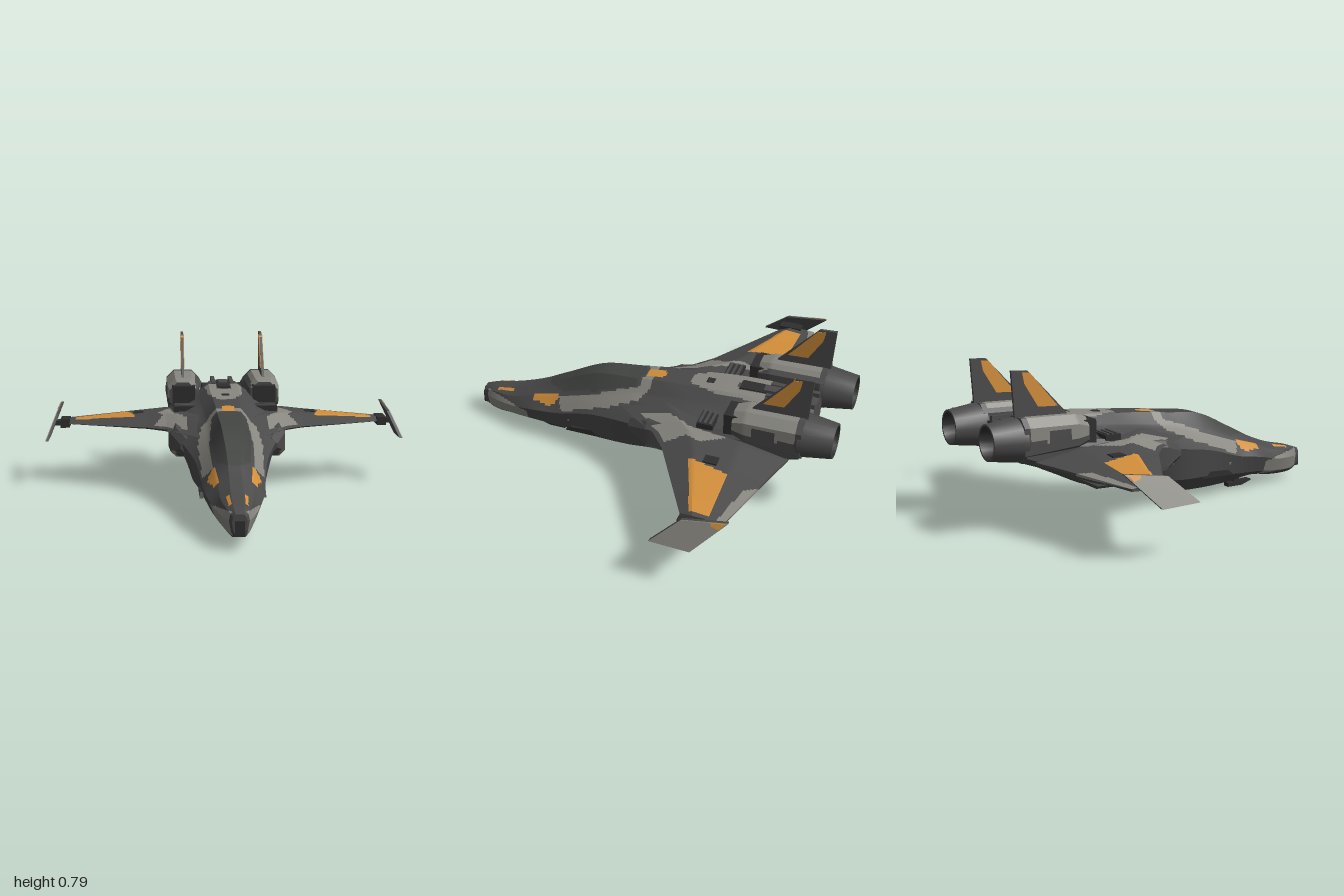
import * as THREE from 'three';
import { toCreasedNormals } from 'three/addons/utils/BufferGeometryUtils.js';

const V = (x, y, z) => new THREE.Vector3(x, y, z);
const DARK = 0, GREY = 1, ORANGE = 2, BLACK = 3, CANOPY = 4;

// Point-in-polygon test for paint areas given as [x, z] corners
function inside(poly, x, z) {
  let hit = false;
  for (let i = 0, j = poly.length - 1; i < poly.length; j = i++) {
    const [a, b] = poly[i], [c, d] = poly[j];
    if ((b > z) !== (d > z) && x < ((c - a) * (z - b)) / (d - b) + a) hit = !hit;
  }
  return hit;
}

// Paint areas on half of the upper side
const paintAreas = [
  [ORANGE, [[0.535, -0.56], [0.815, -0.56], [0.815, -0.46], [0.487, -0.345]]],
  [ORANGE, [[0, -0.06], [0.02, -0.055], [0.032, -0.03], [0.032, 0.045], [0, 0.045]]],
  [ORANGE, [[0.09, 0.51], [0.12, 0.52], [0.13, 0.56], [0.1, 0.665], [0.08, 0.665]]],
  [ORANGE, [[0.035, 0.8], [0.05, 0.8], [0.045, 0.9], [0.03, 0.9]]],
  [GREY, [[0.10, 0.51], [0.15, 0.48], [0.165, 0.2], [0.14, 0.04], [0.08, -0.01], [0.03, -0.01], [0.03, 0.04], [0.09, 0.06], [0.11, 0.3]]],
  [GREY, [[0.30, -0.48], [0.37, -0.36], [0.34, -0.28], [0.39, -0.17], [0.32, -0.08], [0.27, 0.09], [0.21, 0], [0.21, -0.14], [0.28, -0.28]]],
  [GREY, [[0, -0.2], [0.05, -0.21], [0.09, -0.34], [0.105, -0.6], [0.05, -0.6], [0.045, -0.46], [0, -0.44]]],
  [GREY, [[0.54, -0.74], [0.9, -0.64], [0.9, -0.58], [0.6, -0.655]]],
  [CANOPY, [[0, 0.05], [0.09, 0.08], [0.1, 0.3], [0.08, 0.5], [0.04, 0.58], [0, 0.6]]],
];
function topPaint(p) {
  const area = paintAreas.find(([, poly]) => inside(poly, Math.abs(p.x), p.z));
  return area ? area[0] : DARK;
}

// Skin over closed rings, with capped ends and one material group per paint colour
function loft(rings, paint, { split = 1, step = 0.05, smooth = false } = {}) {
  const fine = [];
  const at = rings[0].map((_, j) => new THREE.CatmullRomCurve3(rings.map(r => r[j])));
  for (let i = 0; i < rings.length - 1; i++) {
    const n = Math.ceil(rings[i][0].distanceTo(rings[i + 1][0]) / step);
    const last = i === rings.length - 2 ? 1 : 0;
    for (let k = 0; k < n + last; k++) {
      const corners = rings[i].map((p, j) => smooth
        ? at[j].getPoint((i + k / n) / (rings.length - 1))
        : p.clone().lerp(rings[i + 1][j], k / n));
      const ring = [];
      corners.forEach((p, j) => {
        const q = corners[(j + 1) % corners.length];
        for (let m = 0; m < split; m++) ring.push(p.clone().lerp(q, m / split));
      });
      fine.push(ring);
    }
  }
  const buckets = [[], [], [], [], []];
  const put = (colour, ...pts) => pts.forEach(p => buckets[colour].push(p.x, p.y, p.z));
  const n = fine[0].length;
  for (let i = 0; i < fine.length - 1; i++) for (let j = 0; j < n; j++) {
    const a = fine[i][j], b = fine[i][(j + 1) % n], c = fine[i + 1][j], d = fine[i + 1][(j + 1) % n];
    const mid = a.clone().add(b).add(c).add(d).multiplyScalar(0.25);
    put(paint(mid), a, c, b, b, c, d);
  }
  [fine[0], fine[fine.length - 1]].forEach((ring, end) => {
    const mid = ring.reduce((s, p) => s.add(p), V(0, 0, 0)).divideScalar(n);
    ring.forEach((p, j) => {
      const q = ring[(j + 1) % n];
      if (end) put(DARK, mid, q, p); else put(DARK, mid, p, q);
    });
  });
  const geo = new THREE.BufferGeometry();
  geo.setAttribute('position', new THREE.Float32BufferAttribute(buckets.flat(), 3));
  let start = 0;
  buckets.forEach((b, m) => { if (b.length) geo.addGroup(start, b.length / 3, m); start += b.length / 3; });
  return toCreasedNormals(geo, 0.4);
}

// Bevelled rectangular ring facing +z
function boxRing([z, x0, x1, y0, y1], b) {
  return [[x1, y0 + b], [x1, y1 - b], [x1 - b, y1], [x0 + b, y1], [x0, y1 - b], [x0, y0 + b], [x0 + b, y0], [x1 - b, y0]]
    .map(([x, y]) => V(x, y, z));
}

// Upright plate from [z, y] corners, centred on x
function plate(corners, thick, x = 0) {
  const shape = new THREE.Shape(corners.map(c => new THREE.Vector2(...c)));
  const geo = new THREE.ExtrudeGeometry(shape, { depth: thick, bevelEnabled: false });
  return geo.rotateY(-Math.PI / 2).translate(x + thick / 2, 0, 0);
}

const box = (x0, x1, y0, y1, z0, z1) => new THREE.BoxGeometry(x1 - x0, y1 - y0, z1 - z0)
  .translate((x0 + x1) / 2, (y0 + y1) / 2, (z0 + z1) / 2);

function mirrored(geo) {
  const out = (geo.index ? geo.toNonIndexed() : geo.clone()).scale(-1, 1, 1);
  for (const attr of [out.attributes.position, out.attributes.normal])
    for (let i = 0; i < attr.count; i += 3) {
      const p = V().fromBufferAttribute(attr, i + 1), q = V().fromBufferAttribute(attr, i + 2);
      attr.setXYZ(i + 1, q.x, q.y, q.z);
      attr.setXYZ(i + 2, p.x, p.y, p.z);
    }
  return out;
}

export function createModel() {
  const root = new THREE.Group();
  const mats = Object.entries({ darkHull: 0x4a4a4a, lightGrey: 0x87867f, orange: 0xd28e3a, black: 0x2e2e2e, canopyGlass: 0x434543 })
    .map(([name, color]) => Object.assign(new THREE.MeshStandardMaterial({ color }), { name }));
  const add = (name, geo, mat) => {
    const mesh = new THREE.Mesh(geo, mat === undefined ? mats : mats[mat]);
    mesh.name = name;
    root.add(mesh);
  };
  const pair = (name, geo, mat) => {
    add(name + 'Left', geo, mat);
    add(name + 'Right', mirrored(geo), mat);
  };

  // Fuselage: z, then x,y of ridge, shoulder, chine, lower edge and keel
  const hull = [
    [0.99, 0.02, 0.165, 0.03, 0.152, 0.035, 0.13, 0.03, 0.09, 0.02, 0.07],
    [0.93, 0.025, 0.185, 0.05, 0.17, 0.06, 0.13, 0.045, 0.065, 0.03, 0.045],
    [0.8, 0.03, 0.215, 0.075, 0.185, 0.10, 0.14, 0.075, 0.07, 0.04, 0.042],
    [0.65, 0.03, 0.27, 0.085, 0.235, 0.14, 0.175, 0.11, 0.09, 0.05, 0.06],
    [0.5, 0.035, 0.345, 0.10, 0.275, 0.155, 0.20, 0.13, 0.10, 0.06, 0.045],
    [0.3, 0.05, 0.437, 0.11, 0.34, 0.18, 0.26, 0.16, 0.12, 0.08, 0.04],
    [0.1, 0.06, 0.463, 0.11, 0.40, 0.23, 0.30, 0.19, 0.13, 0.09, 0.05],
    [-0.05, 0.065, 0.482, 0.12, 0.42, 0.28, 0.33, 0.20, 0.15, 0.10, 0.09],
    [-0.2, 0.07, 0.493, 0.13, 0.44, 0.33, 0.345, 0.20, 0.15, 0.11, 0.14],
    [-0.4, 0.08, 0.51, 0.14, 0.46, 0.33, 0.35, 0.20, 0.18, 0.11, 0.155],
    [-0.6, 0.08, 0.517, 0.13, 0.48, 0.31, 0.36, 0.18, 0.27, 0.10, 0.24],
    [-0.75, 0.075, 0.51, 0.11, 0.48, 0.2, 0.38, 0.15, 0.34, 0.09, 0.31],
    [-0.85, 0.06, 0.5, 0.09, 0.47, 0.11, 0.42, 0.10, 0.37, 0.07, 0.35],
  ].map(([z, ...c]) => {
    const half = [0, 2, 4, 6, 8].map(i => [c[i], c[i + 1]]);
    return [...half.slice().reverse().map(([x, y]) => V(x, y, z)), ...half.map(([x, y]) => V(-x, y, z))];
  });
  const hullPaint = p => {
    if (p.z > 0.7 && p.z < 0.96 && p.y > 0.06 && p.y < 0.17 - (0.96 - p.z) * 0.1) return GREY;
    return p.y > 0.16 + Math.max(0, 0.5 - p.z) * 0.13 ? topPaint(p) : DARK;
  };
  add('fuselage', loft(hull, hullPaint, { split: 8, step: 0.012, smooth: true }));
  add('noseSensor', box(-0.022, 0.022, 0.065, 0.135, 0.95, 1), BLACK);
  add('chinPod', plate([[0.52, 0], [0.61, 0], [0.67, 0.02], [0.67, 0.028], [0.52, 0.022]], 0.04), BLACK);
  add('chinPodStrut', box(-0.012, 0.012, 0.02, 0.08, 0.56, 0.6), BLACK);

  // Wings: x, leading z, trailing z, top y, bottom y
  const wing = [
    [0.15, 0.15, -0.80, 0.42, 0.29], [0.26, 0, -0.80, 0.41, 0.30], [0.32, -0.1, -0.79, 0.405, 0.305],
    [0.42, -0.185, -0.757, 0.392, 0.31], [0.88, -0.45, -0.62, 0.343, 0.315],
  ].map(([x, l, t, top, bot]) => {
    const mid = (top + bot) / 2 - 0.005, z = f => l + (t - l) * f;
    return [V(x, mid, l), V(x, top, z(0.28)), V(x, top - 0.008, z(0.65)), V(x, mid + 0.006, t),
      V(x, mid - 0.006, t), V(x, bot, z(0.65)), V(x, bot, z(0.28))];
  });
  const wingPaint = p => {
    const c = topPaint(p);
    return p.y > 0.375 - p.x * 0.05 || (c === ORANGE && p.x > 0.4) || (p.x > 0.5 && p.y > 0.33) ? c : DARK;
  };
  pair('wing', loft(wing, wingPaint, { split: 12, step: 0.012 }));
  pair('wingVent', box(0.445, 0.5, 0.37, 0.388, -0.49, -0.42), BLACK);

  // Wingtip mounts and leaning winglets
  pair('tipMount', box(0.85, 0.9, 0.305, 0.35, -0.55, -0.43), BLACK);
  pair('tipJoint', box(0.89, 0.94, 0.313, 0.337, -0.52, -0.46), BLACK);
  const lean = (corners, thick, x) => {
    const geo = plate(corners, thick, x), p = geo.attributes.position;
    for (let i = 0; i < p.count; i++) p.setX(i, p.getX(i) + 0.965 - (p.getY(i) - 0.25) * 0.39);
    geo.computeVertexNormals();
    return geo;
  };
  const tip = [[-0.32, 0.25], [-0.46, 0.378], [-0.68, 0.41], [-0.52, 0.245]];
  pair('winglet', lean(tip, 0.014, 0), DARK);
  pair('wingletOuterPanel', lean(tip, 0.004, 0.009), GREY);
  pair('wingletStripe', lean([[-0.6, 0.385], [-0.6, 0.398], [-0.67, 0.408], [-0.64, 0.375]], 0.004, 0.012), ORANGE);

  // Intake trunks below the wings, rising into the engines
  const trunk = [
    [0.06, 0.18, 0.25, 0.25, 0.33], [-0.05, 0.16, 0.3, 0.215, 0.37], [-0.3, 0.15, 0.31, 0.195, 0.40],
    [-0.42, 0.14, 0.3, 0.195, 0.42], [-0.6, 0.135, 0.3, 0.265, 0.44], [-0.84, 0.135, 0.31, 0.35, 0.5],
  ].map(s => boxRing(s, 0.03));
  pair('intakeTrunk', loft(trunk, p => (p.y < 0.25 && p.x > 0.27 && p.z < 0.03 && p.z > -0.42 ? GREY : DARK), { split: 2, step: 0.03 }));
  const belly = [[0, 0.1, 0.17, 0.17, 0.25], [-0.12, 0.1, 0.2, 0.145, 0.3], [-0.4, 0.1, 0.2, 0.15, 0.3], [-0.65, 0.1, 0.16, 0.28, 0.36]];
  pair('bellyFairing', loft(belly.map(s => boxRing(s, 0.015)), () => DARK), undefined);

  // Engine nacelles with dark intakes and vents
  const nacelle = [[-0.5, 0.15, 0.3, 0.39, 0.54], [-0.56, 0.135, 0.31, 0.37, 0.557], [-0.85, 0.13, 0.315, 0.35, 0.565]];
  const nacellePaint = p => {
    if (p.z < -0.82 || p.y < 0.45 || p.x < 0.155) return DARK;
    return p.y < 0.5 && p.z < -0.6 && p.z > -0.72 ? DARK : GREY;
  };
  pair('nacelle', loft(nacelle.map(s => boxRing(s, 0.042)), nacellePaint, { split: 6, step: 0.015 }));
  pair('engineIntake', box(0.16, 0.285, 0.39, 0.525, -0.53, -0.455), BLACK);
  pair('deckVent', box(0.15, 0.28, 0.4, 0.437, -0.4, -0.315), BLACK);
  for (let i = 0; i < 3; i++) pair('ventSlat' + i, box(0.155, 0.275, 0.43, 0.443, -0.39 + i * 0.027, -0.377 + i * 0.027), DARK);

  // Exhaust nozzles, hollow at the back
  const lathe = pts => new THREE.LatheGeometry(pts.map(p => new THREE.Vector2(...p)), 20)
    .rotateX(-Math.PI / 2).translate(0.215, 0.456, 0);
  pair('nozzle', toCreasedNormals(lathe([[0.09, 0.8], [0.108, 0.83], [0.108, 0.86], [0.088, 1], [0.078, 1]]), 0.4), DARK);
  pair('nozzleInterior', lathe([[0.078, 1], [0.07, 0.9], [0.03, 0.9], [0.0001, 0.96]].map(([r, y]) => [r, y])), BLACK);

  // Tail fins with orange panels on both faces
  pair('tailFin', plate([[-0.58, 0.555], [-0.79, 0.78], [-0.875, 0.785], [-0.86, 0.555]], 0.015, 0.225), DARK);
  pair('tailFinPanel', plate([[-0.635, 0.6], [-0.78, 0.77], [-0.82, 0.773], [-0.81, 0.72], [-0.74, 0.605]], 0.021, 0.225), ORANGE);

  // Spine equipment
  add('spineSlot', box(-0.035, 0.035, 0.49, 0.522, -0.73, -0.46), BLACK);
  add('spineHatch', box(-0.025, 0.025, 0.49, 0.53, -0.7, -0.58), DARK);
  add('spineCap', box(-0.02, 0.02, 0.48, 0.505, -0.32, -0.28), BLACK);
  pair('spineRail', box(0.04, 0.062, 0.46, 0.525, -0.85, -0.6), DARK);
  pair('tailBlock', box(0.075, 0.115, 0.4, 0.49, -0.84, -0.7), BLACK);
  pair('hullGrille', plate([[0.25, 0.11], [0.45, 0.11], [0.42, 0.135], [0.27, 0.145]], 0.02, 0.153), BLACK);
  return root;
}
